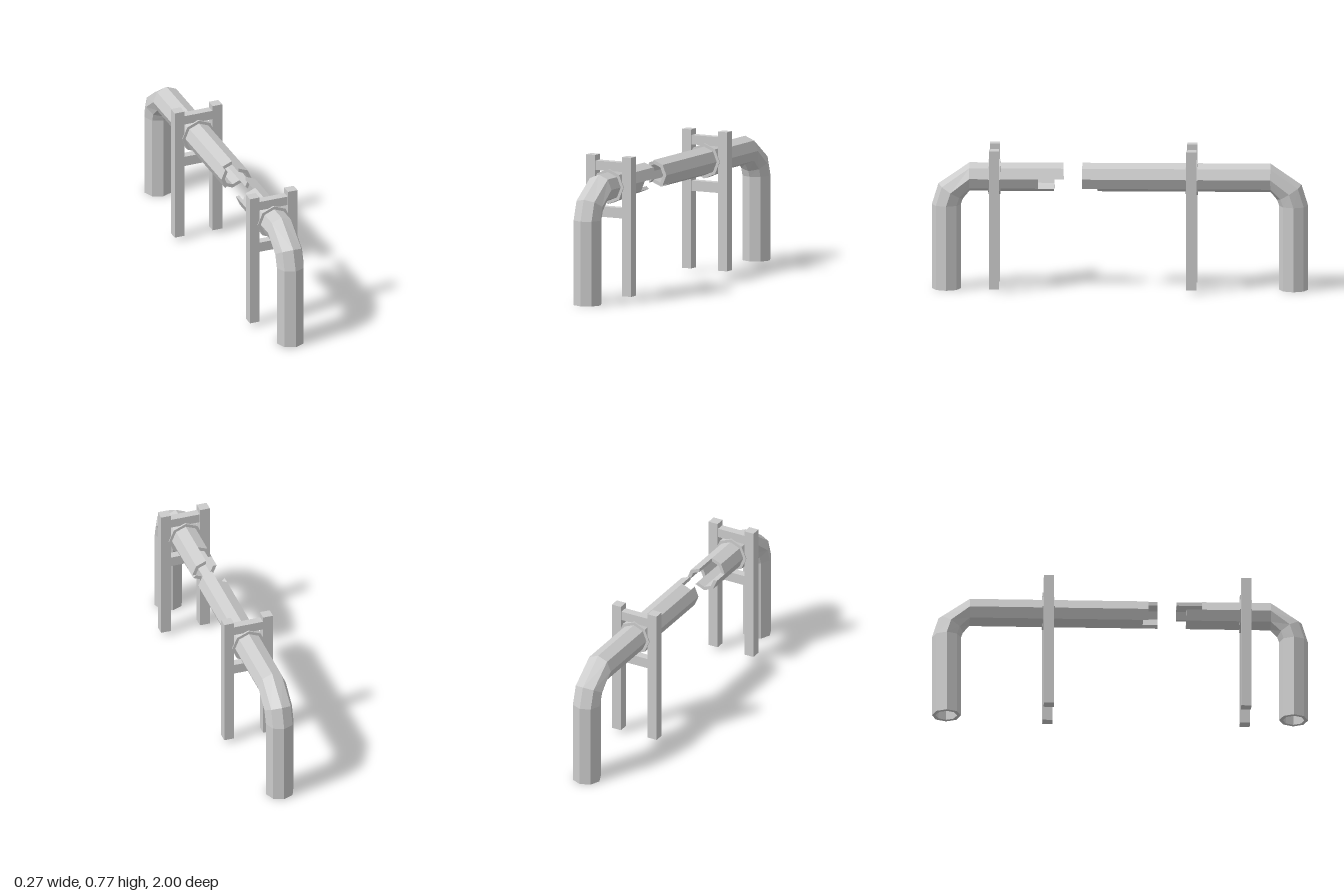
import * as THREE from 'three';

const R = 0.077, INNER = 0.057, AXIS_Y = 0.605, SIDES = 8;
const material = new THREE.MeshStandardMaterial({ color: 0xcccccc, flatShading: true });

// Pipe stations from foot to bend: z, y, tilt of the cross-section
const BEND = [[0.923, 0, 0], [0.923, 0.455, 0], [0.9, 0.527, 0.56], [0.8, AXIS_Y, Math.PI / 2]];

// Hollow eight-sided pipe; each side panel breaks off at its own z (ends, in z * s)
function brokenPipe(s, ends) {
  const pos = [];
  const point = ([z, y, tilt], i, r) => {
    const a = (i / SIDES) * Math.PI * 2, h = r * Math.sin(a);
    return [r * Math.cos(a), y + h * Math.sin(tilt), s * (z + h * Math.cos(tilt))];
  };
  const quad = (a, b, c, d) => {
    if (s < 0) [b, d] = [d, b];
    pos.push(...a, ...b, ...c, ...a, ...c, ...d);
  };
  const station = (z) => [z, AXIS_Y, Math.PI / 2];

  for (let i = 0; i < SIDES; i++) {
    const path = [...BEND, station(ends[i])];
    // outer and inner walls
    for (let k = 0; k < path.length - 1; k++) {
      const p = path[k], q = path[k + 1];
      quad(point(p, i, R), point(q, i, R), point(q, i + 1, R), point(p, i + 1, R));
      quad(point(p, i, INNER), point(p, i + 1, INNER), point(q, i + 1, INNER), point(q, i, INNER));
    }
    // rims at the foot and at the break
    const f = path[0], e = path[path.length - 1];
    quad(point(f, i, R), point(f, i + 1, R), point(f, i + 1, INNER), point(f, i, INNER));
    quad(point(e, i, R), point(e, i, INNER), point(e, i + 1, INNER), point(e, i + 1, R));
    // wall thickness where a panel reaches past its neighbour
    const before = ends[(i + SIDES - 1) % SIDES], after = ends[(i + 1) % SIDES];
    if (ends[i] < before) {
      const n = station(before);
      quad(point(n, i, R), point(n, i, INNER), point(e, i, INNER), point(e, i, R));
    }
    if (ends[i] < after) {
      const n = station(after), j = i + 1;
      quad(point(n, j, R), point(e, j, R), point(e, j, INNER), point(n, j, INNER));
    }
  }
  const g = new THREE.BufferGeometry();
  g.setAttribute('position', new THREE.Float32BufferAttribute(pos, 3));
  g.computeVertexNormals();
  return g;
}

function octagon(r) {
  return Array.from({ length: SIDES }, (_, i) => {
    const a = (i / SIDES) * Math.PI * 2;
    return new THREE.Vector2(r * Math.cos(a), r * Math.sin(a));
  });
}

function add(parent, name, geometry, x = 0, y = 0, z = 0) {
  const m = new THREE.Mesh(geometry, material);
  m.name = name;
  m.position.set(x, y, z);
  parent.add(m);
}

// Two posts, two crossbars and a collar around the pipe
function supportFrame(name, z) {
  const frame = new THREE.Group();
  frame.name = name;
  frame.position.z = z;
  for (const side of [-1, 1]) {
    add(frame, side > 0 ? 'leftPost' : 'rightPost',
      new THREE.BoxGeometry(0.055, 0.747, 0.054), side * 0.109, 0.394, 0);
  }
  add(frame, 'upperCrossbar', new THREE.BoxGeometry(0.165, 0.05, 0.044), 0, 0.712, 0);
  add(frame, 'lowerCrossbar', new THREE.BoxGeometry(0.165, 0.055, 0.044), 0, 0.465, 0);
  const ring = new THREE.Shape(octagon(0.094));
  ring.holes.push(new THREE.Path(octagon(0.076)));
  const collar = new THREE.ExtrudeGeometry(ring, { depth: 0.064, bevelEnabled: false });
  add(frame, 'collar', collar, 0, AXIS_Y, -0.032);
  return frame;
}

export function createModel() {
  const group = new THREE.Group();
  group.name = 'brokenPipeline';
  // Panels run anticlockwise from the +x side
  add(group, 'frontPipe', brokenPipe(1, [0.3, 0.3, 0.435, 0.435, 0.35, 0.35, 0.35, 0.435]));
  add(group, 'backPipe', brokenPipe(-1, [-0.2, -0.2, -0.11, -0.15, -0.15, -0.12, -0.12, -0.2]));
  group.add(supportFrame('frontSupport', 0.667), supportFrame('backSupport', -0.382));
  return group;
}
